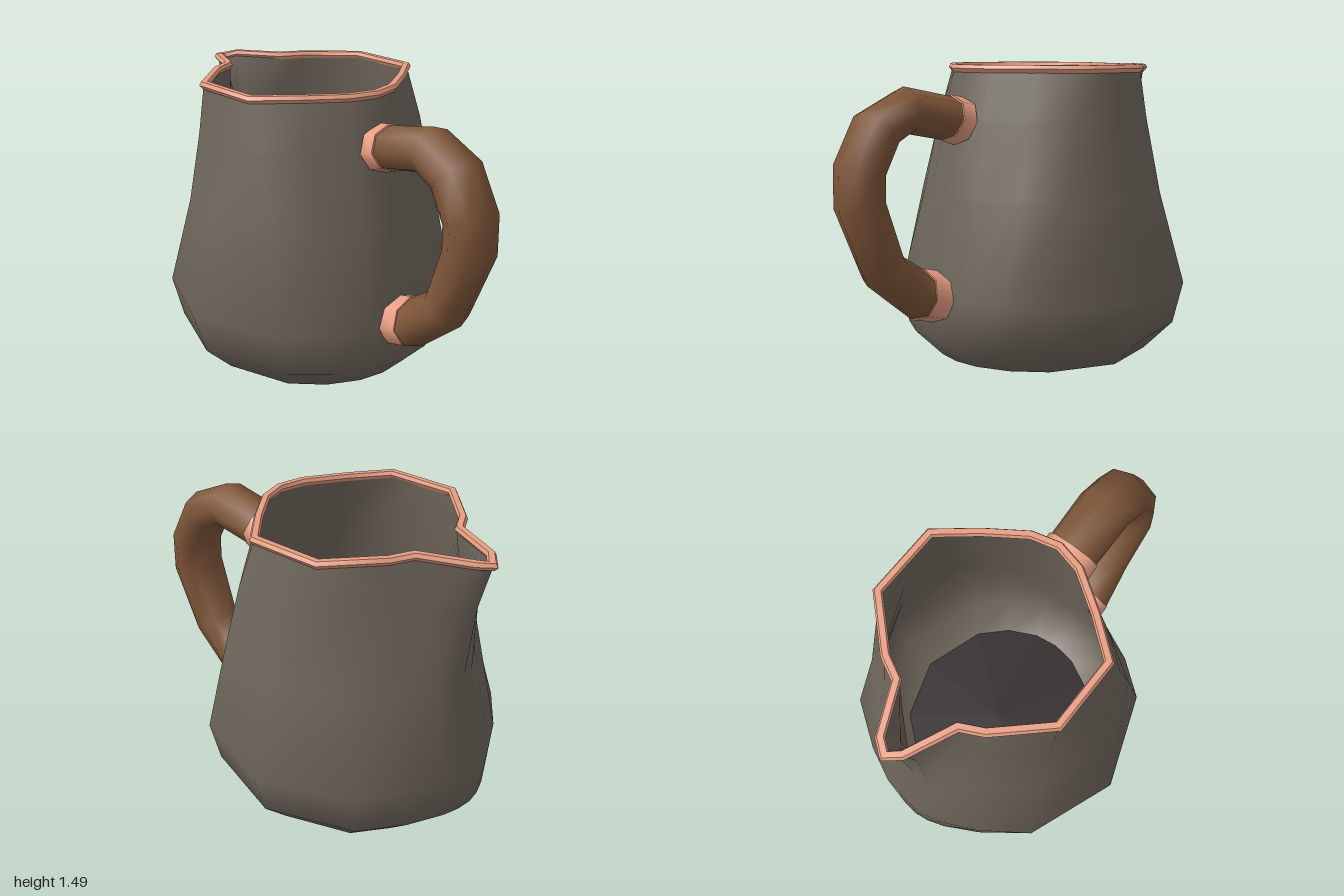
import * as THREE from 'three';
import { toCreasedNormals } from 'three/addons/utils/BufferGeometryUtils.js';

const V = (x, y, z) => new THREE.Vector3(x, y, z);

// Skin closed loops of equal length, in order
function loft(rows, crease) {
  const pos = [];
  const tri = (a, b, c) => {
    const area = b.clone().sub(a).cross(c.clone().sub(a)).length();
    if (area > 1e-8) for (const p of [a, b, c]) pos.push(p.x, p.y, p.z);
  };
  for (let i = 0; i < rows.length - 1; i++) {
    const r = rows[i], s = rows[i + 1], n = r.length;
    for (let j = 0; j < n; j++) {
      const k = (j + 1) % n;
      tri(r[j], s[j], r[k]);
      tri(r[k], s[j], s[k]);
    }
  }
  const g = new THREE.BufferGeometry();
  g.setAttribute('position', new THREE.Float32BufferAttribute(pos, 3));
  return toCreasedNormals(g, crease);
}

// Mirror a half outline (handle side to spout side) into a full loop
function fullLoop(y, half) {
  const back = half.slice(1, -1).reverse().map(([x, z]) => [x, -z]);
  return [...half, ...back].map(([x, z]) => V(x, y, z));
}

// Mitred horizontal offset of a loop: d > 0 moves outwards
function offset(loop, d, dy = 0) {
  const n = loop.length;
  const edge = (a, b) => V(b.z - a.z, 0, a.x - b.x).normalize();
  return loop.map((p, i) => {
    const e = edge(loop[(i + n - 1) % n], p), f = edge(p, loop[(i + 1) % n]);
    const m = e.clone().add(f).normalize();
    const len = d / Math.max(0.6, m.dot(f));
    return V(p.x + m.x * len, p.y + dy, p.z + m.z * len);
  });
}

const collapse = (loop, x, y) => loop.map(() => V(x, y, 0));

// Eight-sided oval tube along a path in the xy plane; path entries: x, y, radius, halfWidth
function ovalTube(path) {
  const rows = path.map(([x, y, r, w], i) => {
    const a = path[Math.max(0, i - 1)], b = path[Math.min(path.length - 1, i + 1)];
    const t = V(b[0] - a[0], b[1] - a[1], 0).normalize();
    return Array.from({ length: 8 }, (_, j) => {
      const q = (j / 8) * Math.PI * 2;
      return V(x - t.y * r * Math.cos(q), y + t.x * r * Math.cos(q), -w * Math.sin(q));
    });
  });
  const first = path[0], last = path[path.length - 1];
  return loft([collapse(rows[0], first[0], first[1]), ...rows,
    collapse(rows[0], last[0], last[1])], 1.25);
}

export function createModel() {
  const group = new THREE.Group();
  const material = (name, color) => {
    const m = new THREE.MeshStandardMaterial({ color });
    m.name = name;
    return m;
  };
  const stone = material('grey stoneware', 0x6e665b);
  const copper = material('copper', 0xeda286);
  const wood = material('brown wood', 0x7f5639);
  const dark = material('dark interior', 0x261c1e);
  const add = (name, geometry, mat) => {
    const mesh = new THREE.Mesh(geometry, mat);
    mesh.name = name;
    group.add(mesh);
  };

  // Body outlines, from the foot up to the spouted mouth
  const foot = fullLoop(0, [[0.34, 0], [0.32, 0.14], [0.24, 0.3], [0.1, 0.44], [-0.24, 0.55],
    [-0.57, 0.44], [-0.7, 0.28], [-0.78, 0.15], [-0.8, 0.07], [-0.81, 0]]);
  const low = fullLoop(0.14, [[0.49, 0], [0.46, 0.18], [0.37, 0.37], [0.22, 0.54], [-0.24, 0.695],
    [-0.68, 0.54], [-0.84, 0.34], [-0.93, 0.17], [-0.96, 0.08], [-0.97, 0]]);
  const belly = fullLoop(0.36, [[0.48, 0], [0.46, 0.2], [0.38, 0.41], [0.24, 0.59], [-0.24, 0.765],
    [-0.7, 0.59], [-0.86, 0.36], [-0.945, 0.18], [-0.965, 0.09], [-0.97, 0]]);
  const waist = fullLoop(0.84, [[0.39, 0], [0.36, 0.17], [0.25, 0.38], [0.13, 0.56], [-0.24, 0.65],
    [-0.57, 0.53], [-0.76, 0.32], [-0.84, 0.16], [-0.87, 0.08], [-0.88, 0]]);
  const neck = fullLoop(1.22, [[0.325, 0], [0.285, 0.155], [0.17, 0.355], [0.03, 0.54], [-0.24, 0.57],
    [-0.47, 0.52], [-0.68, 0.29], [-0.76, 0.16], [-0.88, 0.07], [-0.92, 0]]);
  const mouth = fullLoop(1.47, [[0.265, 0], [0.23, 0.14], [0.1, 0.33], [-0.05, 0.515], [-0.24, 0.515],
    [-0.42, 0.515], [-0.635, 0.285], [-0.69, 0.175], [-0.93, 0.065], [-0.98, 0]]);
  for (const p of mouth) if (p.x < -0.9) p.y = p.x < -0.95 ? 1.445 : 1.46;

  // Outer wall, base and inner wall down to the inside floor
  const floor = offset(foot, -0.04, 0.05);
  add('body', loft([collapse(foot, -0.24, 0), foot, low, belly, waist, neck, mouth,
    offset(mouth, -0.015), offset(neck, -0.035), offset(waist, -0.04), offset(belly, -0.04),
    offset(low, -0.04, 0.02), floor], 1.1), stone);
  add('insideFloor', loft([floor, collapse(floor, -0.24, 0.05)], 0.5), dark);

  // Copper lip around the mouth
  const section = [[0.005, -0.02], [0.02, 0], [0.01, 0.018], [-0.018, 0.018], [-0.025, 0], [-0.012, -0.02]];
  const lip = section.map(([d, dy]) => offset(mouth, d, dy));
  add('rim', loft([...lip, lip[0]], 0.9), copper);

  // Curved handle
  add('handle', ovalTube([[0.35, 1.225, 0.108, 0.135], [0.63, 1.28, 0.112, 0.14], [0.79, 1.2, 0.114, 0.145],
    [0.887, 1.015, 0.112, 0.148], [0.889, 0.85, 0.112, 0.148], [0.765, 0.53, 0.112, 0.122],
    [0.56, 0.375, 0.12, 0.145], [0.46, 0.35, 0.115, 0.14]]), wood);

  // Collars where the handle meets the body
  add('upperCollar', ovalTube([[0.312, 1.215, 0.12, 0.148], [0.385, 1.234, 0.115, 0.145]]), copper);
  add('lowerCollar', ovalTube([[0.455, 0.354, 0.128, 0.152], [0.56, 0.381, 0.128, 0.15]]), copper);

  return group;
}
